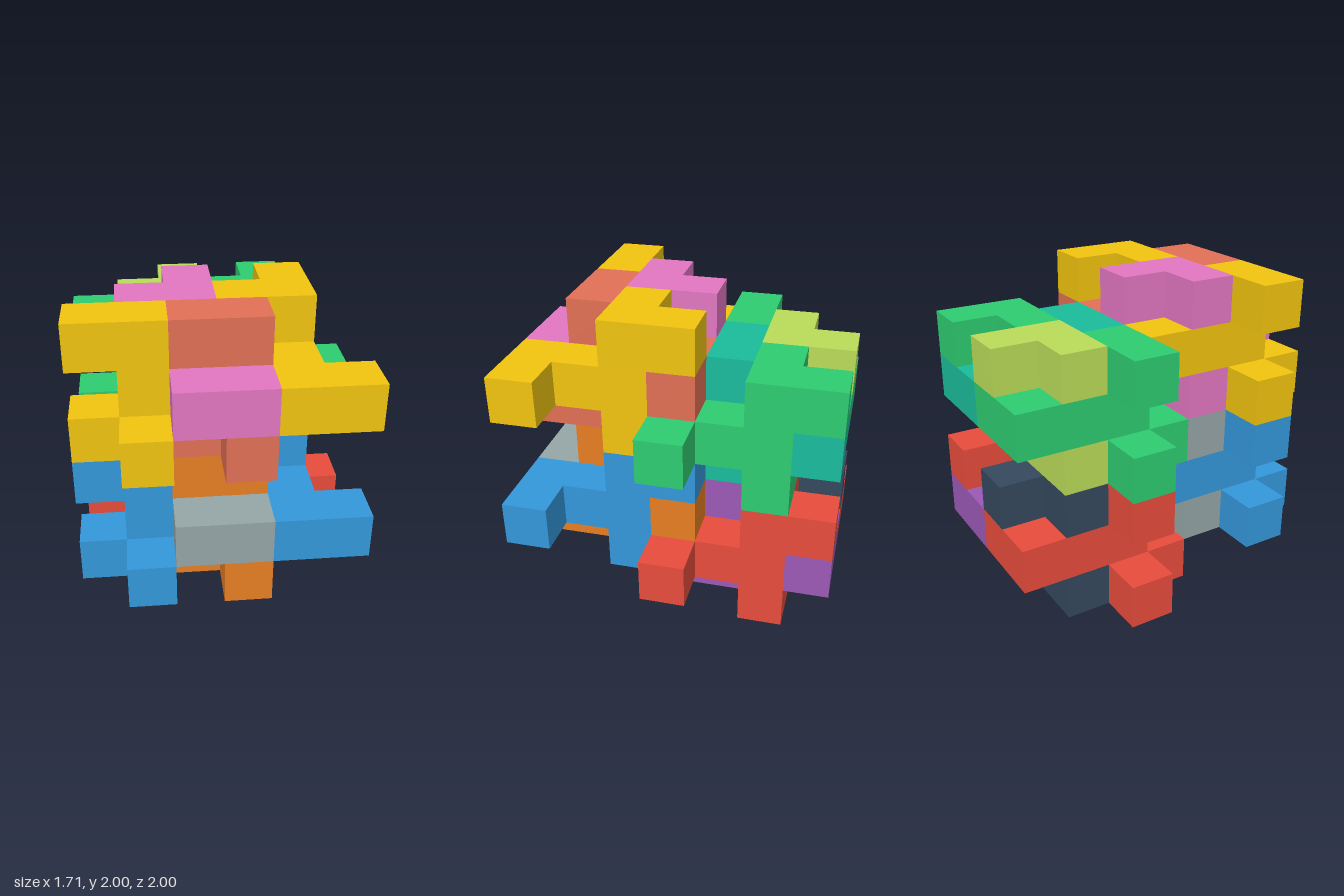
import * as THREE from 'three';
import { mergeGeometries } from 'three/addons/utils/BufferGeometryUtils.js';

const U = 2 / 7; // edge of one cube

// One interlocking block: layers from bottom to top, rows from back to front, columns along x.
// M = main body, B = bar, C = cap
const LAYERS = [
  ['......', '.CCMM.', 'MMBB..', '.M.B..'],
  ['.MMBB.', '.MMMM.', '.MMMM.', '..CCMM'],
  ['..C.M.', '.CCMM.', 'MMBB..', '......'],
];
const PARTS = { M: 'mainBody', B: 'bar', C: 'cap' };

// The four stacked copies: cell offset in y and z, and a colour for each part
const BLOCKS = [
  { name: 'lowerBackBlock', y: 0, z: 0, M: 0xe74c3c, B: 0x9b59b6, C: 0x34495e },
  { name: 'lowerFrontBlock', y: 1, z: 3, M: 0x3498db, B: 0xe67e22, C: 0x95a5a6 },
  { name: 'upperBackBlock', y: 3, z: 0, M: 0x2ecc71, B: 0x1abc9c, C: 0xbadc58 },
  { name: 'upperFrontBlock', y: 4, z: 3, M: 0xf1c40f, B: 0xe17055, C: 0xe377c2 },
];

const DIRECTIONS = [
  [1, 0, 0], [-1, 0, 0], [0, 1, 0], [0, -1, 0], [0, 0, 1], [0, 0, -1],
];

const cellAt = (x, y, z) => LAYERS[y]?.[z]?.[x] ?? '.';

// Square facing outwards on one side of a cube
function cubeFace(x, y, z, dir) {
  const normal = new THREE.Vector3(...dir);
  const turn = new THREE.Quaternion().setFromUnitVectors(new THREE.Vector3(0, 0, 1), normal);
  if (dir[2] === -1) turn.setFromAxisAngle(new THREE.Vector3(0, 1, 0), Math.PI);
  return new THREE.PlaneGeometry(U, U)
    .applyQuaternion(turn)
    .translate((x - 2.5 + dir[0] / 2) * U, (y + 0.5 + dir[1] / 2) * U, (z - 3 + dir[2] / 2) * U);
}

// Outer faces of all cubes that belong to one part of the block
function partGeometry(letter) {
  const faces = [];
  for (let y = 0; y < 3; y++) {
    for (let z = 0; z < 4; z++) {
      for (let x = 0; x < 6; x++) {
        if (cellAt(x, y, z) !== letter) continue;
        for (const d of DIRECTIONS) {
          if (cellAt(x + d[0], y + d[1], z + d[2]) === '.') faces.push(cubeFace(x, y, z, d));
        }
      }
    }
  }
  return mergeGeometries(faces);
}

export function createModel() {
  const model = new THREE.Group();
  model.name = 'interlockingBlocks';
  const geometries = {};
  for (const letter in PARTS) geometries[letter] = partGeometry(letter);

  for (const block of BLOCKS) {
    const group = new THREE.Group();
    group.name = block.name;
    group.position.set(0, block.y * U, block.z * U);
    for (const letter in PARTS) {
      const material = new THREE.MeshStandardMaterial({ color: block[letter] });
      const mesh = new THREE.Mesh(geometries[letter], material);
      mesh.name = PARTS[letter];
      group.add(mesh);
    }
    model.add(group);
  }
  return model;
}
